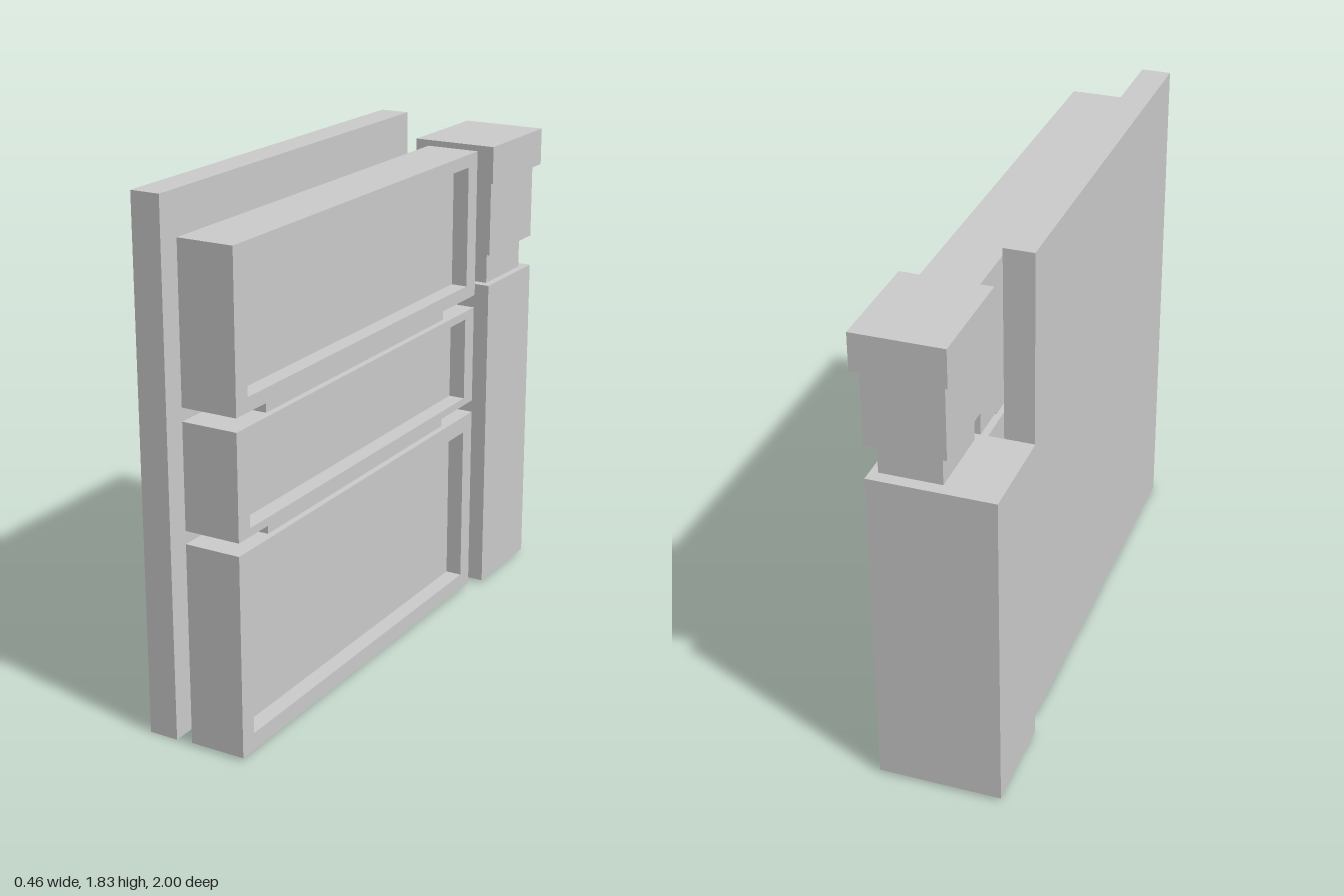
import * as THREE from 'three';

const material = new THREE.MeshStandardMaterial({ color: 0xcccccc, flatShading: true });

// Box given by its limits on each axis
function block(name, [x0, x1], [y0, y1], [z0, z1]) {
  const mesh = new THREE.Mesh(new THREE.BoxGeometry(x1 - x0, y1 - y0, z1 - z0), material);
  mesh.position.set((x0 + x1) / 2, (y0 + y1) / 2, (z0 + z1) / 2);
  mesh.name = name;
  return mesh;
}

function rectangle(PathType, [z0, z1], [y0, y1]) {
  // Shape x runs along -z, so that the extrusion faces +x after turning
  return new PathType([[-z1, y0], [-z0, y0], [-z0, y1], [-z1, y1]].map(([a, b]) => new THREE.Vector2(a, b)));
}

// Panel with a raised rim around a recess on its +x face
function panel(name, y, z, recessY, recessZ) {
  const back = -0.03, floor = 0.11, front = 0.17;
  const group = new THREE.Group();
  group.name = name;
  const shape = rectangle(THREE.Shape, z, y);
  shape.holes.push(rectangle(THREE.Path, recessZ, recessY));
  const geometry = new THREE.ExtrudeGeometry(shape, { depth: front - floor, bevelEnabled: false });
  geometry.rotateY(Math.PI / 2).translate(floor, 0, 0);
  const rim = new THREE.Mesh(geometry, material);
  rim.name = 'panelRim';
  group.add(block('panelBack', [back, floor], y, z), rim);
  return group;
}

export function createModel() {
  const model = new THREE.Group();
  model.name = 'wallWithPost';

  // Plain rear wall
  model.add(block('rearWall', [-0.2, -0.095], [0, 1.825], [-0.538, 0.993]));

  // Three stacked recessed panels
  model.add(
    panel('lowerPanel', [0.01, 0.712], [-0.575, 1], [0.07, 0.65], [-0.508, 0.935]),
    panel('middlePanel', [0.757, 1.12], [-0.575, 1], [0.785, 1.09], [-0.508, 0.935]),
    panel('upperPanel', [1.166, 1.702], [-0.58, 1], [1.215, 1.655], [-0.512, 0.935])
  );

  // Spacers between the panels
  for (const y of [[0.712, 0.757], [1.12, 1.166]]) {
    model.add(block('panelSpacer', [-0.01, 0.147], y, [-0.375, 0.8]));
  }

  // Stepped post
  model.add(
    block('postBase', [-0.23, 0.205], [0.01, 1.195], [-0.975, -0.622]),
    block('postNeck', [-0.038, 0.178], [1.195, 1.312], [-0.93, -0.657]),
    block('postBlock', [-0.067, 0.207], [1.312, 1.585], [-0.968, -0.62]),
    block('postCap', [-0.088, 0.226], [1.585, 1.72], [-1, -0.595])
  );

  // Connectors from the post to the wall and to the lower panel
  model.add(
    block('wallConnector', [-0.185, -0.115], [0.41, 0.675], [-0.622, -0.538]),
    block('panelConnector', [0.015, 0.118], [0.16, 0.565], [-0.622, -0.575])
  );
  return model;
}
